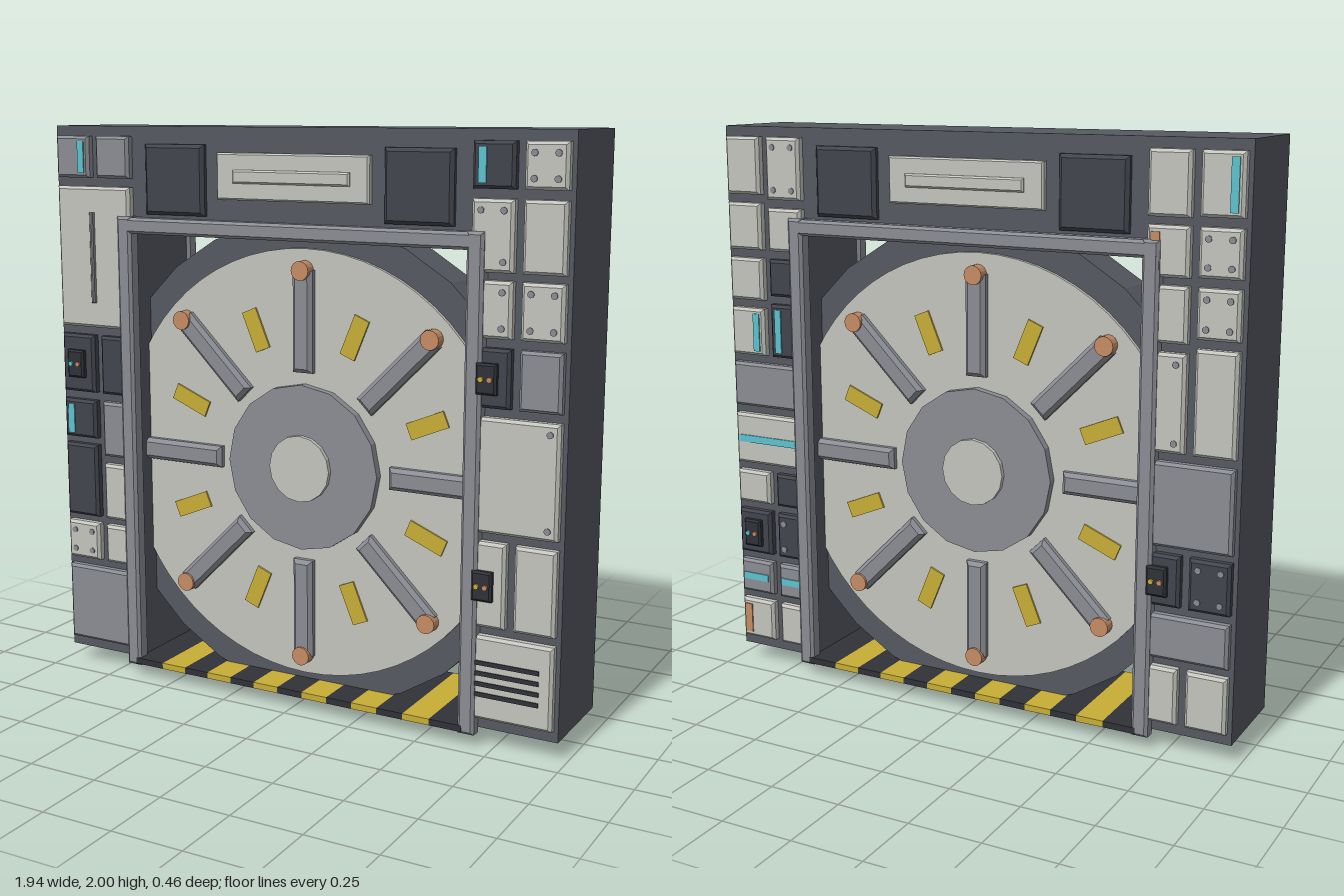
import * as THREE from 'three';

const mat = (name, color) => {
  const m = new THREE.MeshStandardMaterial({ color });
  m.name = name;
  return m;
};

export function createModel() {
  const M = {
    wall: mat('slate wall', 0x555961),
    dark: mat('dark panel', 0x42454d),
    light: mat('pale panel', 0xc4c4bd),
    grey: mat('mid grey metal', 0x8a8d94),
    black: mat('near black', 0x303238),
    yellow: mat('hazard yellow', 0xc8ae36),
    cyan: mat('cyan light', 0x5cc3cf),
    copper: mat('copper', 0xc48b64),
  };
  const model = new THREE.Group();
  model.name = 'rollingDoorWall';

  const add = (parent, name, geo, m, x = 0, y = 0, z = 0) => {
    const mesh = new THREE.Mesh(geo, m);
    mesh.name = name;
    mesh.position.set(x, y, z);
    parent.add(mesh);
    return mesh;
  };
  const box = (parent, name, m, x, y, z, w, h, d) =>
    add(parent, name, new THREE.BoxGeometry(w, h, d), m, x, y, z);
  // Chamfered plate whose back lies at z
  const plate = (parent, name, m, x, y, z, w, h, d, bevel = 0.01) => {
    const a = w / 2 - bevel, b = h / 2 - bevel;
    const s = new THREE.Shape([[-a, -b], [a, -b], [a, b], [-a, b]].map(p => new THREE.Vector2(...p)));
    const g = new THREE.ExtrudeGeometry(s, {
      depth: d - bevel, bevelThickness: bevel, bevelSize: bevel, bevelSegments: 1,
    });
    return add(parent, name, g, m, x, y, z);
  };
  // Cylinder lying along z, flat faceted sides
  const disc = (parent, name, m, x, y, z, r, depth, sides) => {
    const g = new THREE.CylinderGeometry(r, r, depth, sides).rotateX(Math.PI / 2).toNonIndexed();
    g.computeVertexNormals();
    return add(parent, name, g, m, x, y, z);
  };

  // Wall with a doorway open at the bottom
  const outline = [[-0.97, 0.065], [-0.645, 0.065], [-0.645, 1.64], [0.645, 1.64],
    [0.645, 0.065], [0.97, 0.065], [0.97, 2], [-0.97, 2]];
  const wall = new THREE.Shape(outline.map(p => new THREE.Vector2(...p)));
  add(model, 'wall', new THREE.ExtrudeGeometry(wall, { depth: 0.34, bevelEnabled: false }), M.wall, 0, 0, -0.17);

  // Striped sill: alternating blocks
  const sill = new THREE.Group();
  sill.name = 'sill';
  model.add(sill);
  const step = 0.097;
  for (let i = -6; i <= 6; i++) {
    const x0 = i === -6 ? -0.65 : (i - 0.5) * step;
    const x1 = i === 6 ? 0.65 : (i + 0.5) * step;
    box(sill, 'sillStripe', i % 2 ? M.yellow : M.black, (x0 + x1) / 2, 0.064, 0, x1 - x0, 0.022, 0.425);
  }

  // Rolling door core
  const CY = 0.85;
  disc(model, 'doorRim', M.wall, 0, CY, 0, 0.847, 0.16, 28);
  disc(model, 'doorFace', M.light, 0, CY, 0, 0.75, 0.19, 64);

  // Panel columns, as left and right edges
  const cols = {
    A: [-0.955, -0.815], B: [-0.785, -0.645], C: [0.645, 0.785], D: [0.815, 0.955],
    L: [-0.955, -0.645], R: [0.645, 0.955],
  };
  const Z = 0.17, T = 0.03, F = Z + T;

  // Small fittings, drawn on a panel with centre x, y and size w, h
  const fittings = {
    rivets(p, x, y, w, h) {
      for (const i of [-1, 1]) for (const j of [-1, 1])
        disc(p, 'rivet', M.grey, x + i * (w / 2 - 0.032), y + j * (h / 2 - 0.034), F, 0.011, 0.008, 10);
    },
    lampLeft: (p, x, y, w, h) => box(p, 'lampStrip', M.cyan, x - 0.035, y, F, 0.026, h - 0.034, 0.009),
    lampRight: (p, x, y, w, h) => box(p, 'lampStrip', M.cyan, x + 0.04, y, F, 0.026, h - 0.034, 0.009),
    lampFlat: (p, x, y, w, h) => box(p, 'lampStrip', M.cyan, x, y, F, w - 0.034, 0.026, 0.009),
    copperStrip: (p, x, y, w, h) => box(p, 'copperStrip', M.copper, x - 0.04, y, F, 0.03, h - 0.04, 0.009),
    handle: (p, x, y) => plate(p, 'handle', M.grey, x, y, F - 0.005, 0.014, 0.32, 0.02, 0.004),
    vents(p, x, y) {
      for (let i = 0; i < 4; i++) box(p, 'ventSlit', M.black, x - 0.005, 0.192 + i * 0.036, F, 0.23, 0.015, 0.008);
    },
    coolSwitch: (p, x, y) => switchBox(p, x, y, M.cyan, M.copper),
    warmSwitch: (p, x, y) => switchBox(p, x - 0.003, y, M.yellow, M.copper),
  };
  function switchBox(p, x, y, a, b) {
    plate(p, 'switchBox', M.black, x, y, F - 0.005, 0.07, 0.1, 0.025, 0.007);
    disc(p, 'button', a, x - 0.015, y, F + 0.02, 0.009, 0.016, 10);
    disc(p, 'button', b, x + 0.015, y, F + 0.02, 0.009, 0.016, 10);
  }

  const frontRows = [
    ['A', 1.82, 1.965, 'grey', 'lampRight'], ['B', 1.82, 1.965, 'grey'],
    ['L', 1.29, 1.79, 'light', 'handle'],
    ['A', 1.05, 1.26, 'dark', 'coolSwitch'], ['B', 1.05, 1.26, 'dark'],
    ['A', 0.88, 1.02, 'dark', 'lampLeft'], ['B', 0.82, 1.02, 'grey'],
    ['A', 0.585, 0.855, 'dark'], ['B', 0.585, 0.79, 'light'],
    ['A', 0.42, 0.56, 'light', 'rivets'], ['B', 0.42, 0.56, 'light'],
    ['L', 0.105, 0.39, 'grey'],
    ['C', 1.82, 1.965, 'dark', 'lampLeft'], ['D', 1.82, 1.965, 'light', 'rivets'],
    ['C', 1.565, 1.79, 'light', 'rivets'], ['D', 1.565, 1.79, 'light'],
    ['C', 1.36, 1.54, 'light', 'rivets'], ['D', 1.36, 1.54, 'light', 'rivets'],
    ['C', 1.14, 1.33, 'dark', 'warmSwitch'], ['D', 1.14, 1.33, 'grey'],
    ['R', 0.735, 1.11, 'light', 'rivets'],
    ['C', 0.42, 0.705, 'light', 'warmSwitch'], ['D', 0.42, 0.705, 'light'],
    ['R', 0.105, 0.39, 'light', 'vents'],
  ];
  const backRows = [
    ['A', 1.765, 1.965, 'light'], ['B', 1.75, 1.965, 'light', 'rivets'],
    ['A', 1.57, 1.735, 'light'], ['B', 1.57, 1.72, 'light'],
    ['A', 1.39, 1.54, 'light'], ['B', 1.41, 1.54, 'dark'],
    ['A', 1.19, 1.36, 'light', 'lampRight'], ['B', 1.19, 1.38, 'dark', 'lampLeft'],
    ['L', 1.0, 1.16, 'grey'], ['L', 0.785, 0.97, 'light', 'lampFlat'],
    ['A', 0.635, 0.755, 'light'], ['B', 0.635, 0.755, 'dark'],
    ['A', 0.44, 0.605, 'dark', 'coolSwitch'], ['B', 0.44, 0.605, 'dark', 'rivets'],
    ['A', 0.285, 0.41, 'grey', 'lampFlat'], ['B', 0.285, 0.41, 'grey', 'lampFlat'],
    ['A', 0.105, 0.255, 'light', 'copperStrip'], ['B', 0.105, 0.255, 'light'],
    ['C', 1.76, 1.965, 'light'], ['D', 1.765, 1.965, 'light', 'lampRight'],
    ['C', 1.575, 1.735, 'light', 'copperStrip'], ['D', 1.58, 1.735, 'light', 'rivets'],
    ['C', 1.37, 1.55, 'light'], ['D', 1.39, 1.55, 'light', 'rivets'],
    ['C', 1.02, 1.34, 'light', 'rivets'], ['D', 1.02, 1.36, 'light'],
    ['R', 0.71, 0.99, 'grey'],
    ['C', 0.51, 0.685, 'dark', 'warmSwitch'], ['D', 0.51, 0.685, 'dark', 'rivets'],
    ['R', 0.33, 0.48, 'grey'],
    ['C', 0.105, 0.3, 'light'], ['D', 0.105, 0.3, 'light'],
  ];

  function makeSide(name, rows) {
    const side = new THREE.Group();
    side.name = name;
    model.add(side);

    // Wall panels and their fittings
    for (const [col, y0, y1, colour, fitting] of rows) {
      const [x0, x1] = cols[col];
      const x = (x0 + x1) / 2, y = (y0 + y1) / 2, w = x1 - x0, h = y1 - y0;
      plate(side, 'panel', M[colour], x, y, Z, w, h, T);
      if (fitting) fittings[fitting](side, x, y, w, h);
    }

    // Header plates
    for (const s of [-1, 1]) plate(side, 'headerPanel', M.dark, s * 0.46, 1.82, Z, 0.24, 0.24, 0.025, 0.012);
    plate(side, 'headerPlate', M.light, 0, 1.837, Z, 0.575, 0.156, 0.022, 0.006);
    plate(side, 'headerBar', M.light, 0, 1.837, Z + 0.018, 0.44, 0.045, 0.014, 0.006);

    // Door frame
    for (const s of [-1, 1]) plate(side, 'doorJamb', M.grey, s * 0.663, 0.868, Z - 0.005, 0.058, 1.645, 0.047, 0.01);
    plate(side, 'doorLintel', M.grey, 0, 1.66, Z - 0.005, 1.385, 0.056, 0.047, 0.01);

    // Door hub, spokes, bolts and marks
    disc(side, 'hub', M.grey, 0, CY, 0.108, 0.29, 0.034, 16);
    disc(side, 'hubCap', M.light, 0, CY, 0.13, 0.116, 0.024, 16);
    for (let i = 0; i < 8; i++) {
      const arm = new THREE.Group();
      arm.name = 'doorSpoke';
      arm.position.y = CY;
      arm.rotation.z = i * Math.PI / 4;
      side.add(arm);
      plate(arm, 'spoke', M.grey, 0, 0.505, 0.09, 0.076, 0.35, 0.036, 0.014);
      disc(arm, 'bolt', M.copper, 0, 0.678, 0.112, 0.033, 0.045, 16);
      const mark = new THREE.Group();
      mark.name = 'doorMark';
      mark.rotation.z = Math.PI / 8;
      arm.add(mark);
      box(mark, 'mark', M.yellow, 0, 0.5, 0.098, 0.058, 0.145, 0.009);
    }
    return side;
  }
  makeSide('frontSide', frontRows);
  makeSide('backSide', backRows).rotation.y = Math.PI;

  return model;
}
